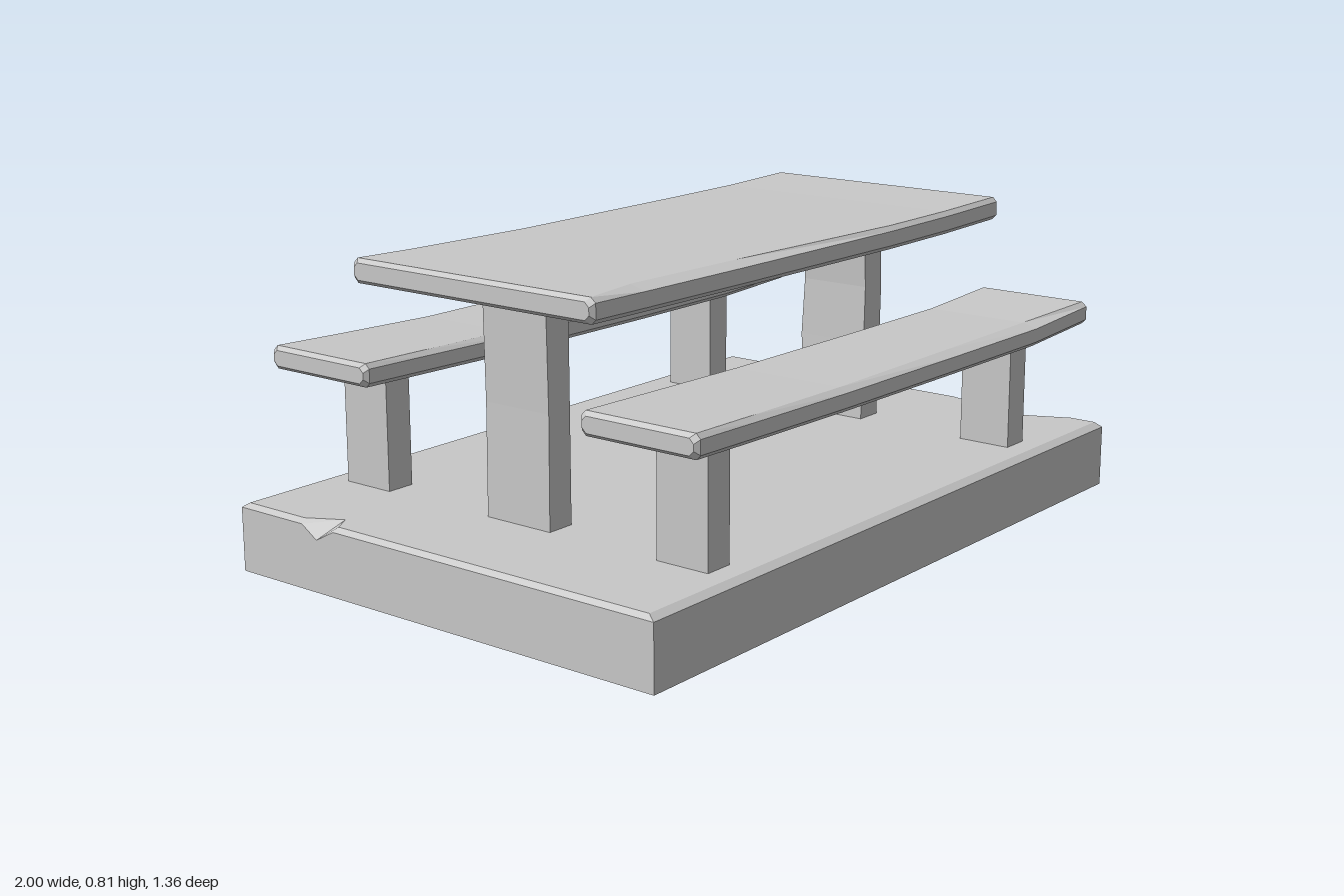
import * as THREE from 'three';

// Skin a stack of rings (equal point counts) and close both ends.
function loft(rings) {
  const pos = [];
  const tri = (...pts) => pts.forEach((p) => pos.push(...p));
  const n = rings[0].length;
  for (let r = 0; r < rings.length - 1; r++) {
    for (let i = 0; i < n; i++) {
      const j = (i + 1) % n;
      const a = rings[r][i], b = rings[r][j], c = rings[r + 1][j], d = rings[r + 1][i];
      tri(a, b, c);
      tri(a, c, d);
    }
  }
  const cap = (ring, flip) => {
    const mid = [0, 1, 2].map((k) => ring.reduce((s, p) => s + p[k], 0) / n);
    ring.forEach((p, i) => {
      const q = ring[(i + 1) % n];
      if (flip) tri(mid, q, p);
      else tri(mid, p, q);
    });
  };
  cap(rings[0], true);
  cap(rings[rings.length - 1], false);
  const g = new THREE.BufferGeometry();
  g.setAttribute('position', new THREE.Float32BufferAttribute(pos, 3));
  g.computeVertexNormals();
  return g;
}

// Bevelled stone plank along x. Stations: [x, sag, front wear, back wear].
function slab(zf, zb, y0, y1, stations) {
  const b = 0.012;
  const section = (x, sag, wf, wb, inset) => {
    const f = zf - inset, k = zb + inset, lo = y0 + sag + inset, hi = y1 + sag - inset;
    return [
      [x, lo, f - b], [x, lo, k + b], [x, lo + b, k], [x, hi - b, k],
      [x, hi, k + wb], [x, hi, f - wf], [x, hi - b, f], [x, lo + b, f],
    ];
  };
  const end = 0.865;
  return loft([
    section(-end, 0, b, b, 0.01),
    ...stations.map((s) => section(...s, 0)),
    section(end, 0, b, b, 0.01),
  ]);
}

// Square post from levels: [y, xMin, xMax, zBack, zFront].
function post(levels) {
  return loft(levels.map(([y, x0, x1, z0, z1]) => [[x1, y, z1], [x1, y, z0], [x0, y, z0], [x0, y, z1]]));
}

export function createModel() {
  const model = new THREE.Group();
  const stone = new THREE.MeshStandardMaterial({ color: 0xc8c8c8 });
  stone.name = 'grey stone';
  stone.flatShading = true;
  const add = (name, geometry) => {
    const mesh = new THREE.Mesh(geometry, stone);
    mesh.name = name;
    model.add(mesh);
  };

  // Base with worn rim and a chip at each end: [x, z, rim height, top x, top z]
  const rim = [
    [1, 0.665, 0.167, 0.99, 0.645], [1, 0.57, 0.167, 0.99, 0.57],
    [1, 0.5, 0.14, 0.925, 0.43], [1, 0.18, 0.17, 0.99, 0.18],
    [1, -0.66, 0.167, 0.99, -0.64], [-1, -0.66, 0.167, -0.99, -0.64],
    [-1, -0.44, 0.167, -0.99, -0.44], [-1, -0.39, 0.135, -0.94, -0.35],
    [-1, -0.33, 0.167, -0.99, -0.32], [-1, 0.665, 0.167, -0.99, 0.645],
  ];
  add('base', loft([
    rim.map(([x, z]) => [x, 0, z]),
    rim.map(([x, z, y]) => [x, y, z]),
    rim.map(([, , , x, z]) => [x, 0.18, z]),
  ]));

  // Table top and benches, sagging slightly with uneven edges
  add('tableTop', slab(0.385, -0.377, 0.75, 0.812, [
    [-0.853, 0, 0.014, 0.012], [-0.68, -0.002, 0.045, 0.025], [-0.3, -0.005, 0.04, 0.038],
    [0.34, -0.008, 0.014, 0.022], [0.6, -0.006, 0.013, 0.023], [0.853, 0, 0.012, 0.02],
  ]));
  add('frontBench', slab(0.677, 0.34, 0.493, 0.553, [
    [-0.853, 0, 0.012, 0.012], [-0.65, -0.004, 0.015, 0.012], [-0.3, -0.01, 0.02, 0.014],
    [0.2, -0.013, 0.032, 0.014], [0.58, -0.014, 0.04, 0.012], [0.853, 0, 0.014, 0.012],
  ]));
  add('backBench', slab(-0.34, -0.68, 0.493, 0.553, [
    [-0.853, 0, 0.012, 0.012], [-0.65, -0.004, 0.015, 0.025], [-0.35, -0.01, 0.02, 0.038],
    [0.2, -0.013, 0.016, 0.025], [0.58, -0.012, 0.014, 0.02], [0.853, 0, 0.012, 0.014],
  ]));

  // Table supports; the one on the model's left is bowed
  add('rightTableLeg', post([
    [0.17, -0.708, -0.63, -0.095, 0.107], [0.47, -0.705, -0.63, -0.095, 0.107],
    [0.765, -0.71, -0.63, -0.095, 0.107],
  ]));
  add('leftTableLeg', post([
    [0.17, 0.61, 0.69, -0.092, 0.107], [0.4, 0.618, 0.698, -0.107, 0.107],
    [0.56, 0.622, 0.702, -0.1, 0.107], [0.765, 0.61, 0.692, -0.09, 0.107],
  ]));

  // Bench supports
  for (const [side, x0, x1] of [['Right', -0.71, -0.63], ['Left', 0.61, 0.69]]) {
    for (const [row, z0, z1] of [['front', 0.437, 0.586], ['back', -0.585, -0.435]]) {
      add(`${row}${side}BenchLeg`, post([[0.17, x0, x1, z0, z1], [0.5, x0, x1, z0, z1]]));
    }
  }
  return model;
}
